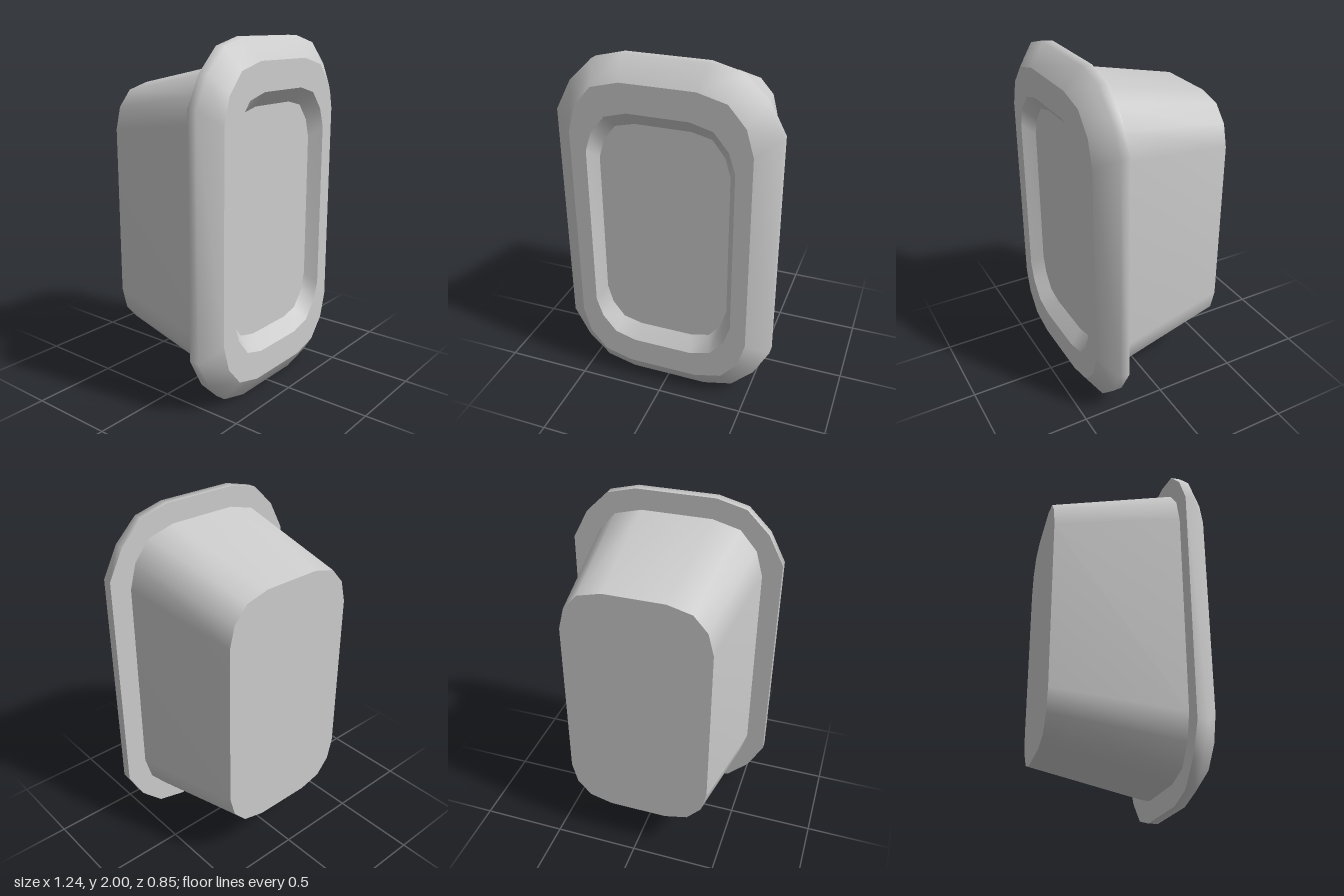
import * as THREE from 'three';

const material = new THREE.MeshStandardMaterial({ color: 0xcccccc, roughness: 0.8 });
const CENTRE_Y = 1;

// Chamfer-cornered outline: one quarter (from the side to the top) mirrored into a full loop,
// counter-clockwise seen from the front.
function outline(quarter, cx = -0.007) {
  const back = [...quarter].reverse();
  return [
    ...quarter,
    ...back.map(([x, y]) => [-x, y]),
    ...quarter.map(([x, y]) => [-x, -y]),
    ...back.map(([x, y]) => [x, -y]),
  ].map(([x, y]) => [x + cx, y + CENTRE_Y]);
}

const outlines = {
  back: outline([[0.417, 0.48], [0.385, 0.605], [0.305, 0.695], [0.17, 0.73]]),
  face: outline([[0.503, 0.58], [0.462, 0.725], [0.365, 0.838], [0.205, 0.88]]),
  rim: outline([[0.62, 0.66], [0.53, 0.83], [0.4, 0.957], [0.23, 1.0]], 0),
  opening: outline([[0.412, 0.48], [0.376, 0.59], [0.295, 0.688], [0.17, 0.722]]),
  floor: outline([[0.368, 0.42], [0.338, 0.525], [0.268, 0.615], [0.155, 0.642]]),
};

// Skin through a list of [outline, z] sections; normals are smooth within one skin.
function skin(name, sections) {
  const positions = [];
  const index = [];
  const n = sections[0][0].length;
  for (const [points, z] of sections) {
    for (const [x, y] of points) positions.push(x, y, z);
  }
  for (let s = 0; s < sections.length - 1; s++) {
    for (let i = 0; i < n; i++) {
      const a = s * n + i;
      const b = s * n + ((i + 1) % n);
      index.push(a, b, b + n, a, b + n, a + n);
    }
  }
  const geometry = new THREE.BufferGeometry();
  geometry.setAttribute('position', new THREE.Float32BufferAttribute(positions, 3));
  geometry.setIndex(index);
  geometry.computeVertexNormals();
  const mesh = new THREE.Mesh(geometry, material);
  mesh.name = name;
  return mesh;
}

// Flat panel filling an outline, facing front or back.
function panel(name, points, z, facesBack = false) {
  const shape = new THREE.Shape(points.map(([x, y]) => new THREE.Vector2(x, y)));
  const geometry = new THREE.ShapeGeometry(shape);
  if (facesBack) {
    geometry.translate(0.007, 0, 0).rotateY(Math.PI).translate(-0.007, 0, 0);
  }
  geometry.translate(0, 0, z);
  const mesh = new THREE.Mesh(geometry, material);
  mesh.name = name;
  return mesh;
}

export function createModel() {
  const { back, face, rim, opening, floor } = outlines;
  const zBack = -0.425, zStep = 0.283, zBevel = 0.34, zFront = 0.425, zFloor = 0.355;

  // Tapered housing
  const housing = new THREE.Group();
  housing.name = 'housing';
  housing.add(
    panel('backPanel', back, zBack, true),
    skin('housingWall', [[back, zBack], [face, zStep]]),
  );

  // Bevelled rim around the front
  const frontRim = new THREE.Group();
  frontRim.name = 'frontRim';
  frontRim.add(
    skin('rimBack', [[face, zStep], [rim, zStep]]),
    skin('rimEdge', [[rim, zStep], [rim, zBevel], [face, zFront]]),
    skin('rimFace', [[face, zFront], [opening, zFront]]),
  );

  // Shallow recess in the front
  const recess = new THREE.Group();
  recess.name = 'recess';
  recess.add(
    skin('recessWall', [[opening, zFront], [floor, zFloor]]),
    panel('recessFloor', floor, zFloor),
  );

  const model = new THREE.Group();
  model.name = 'recessedHousing';
  model.add(housing, frontRim, recess);
  return model;
}
